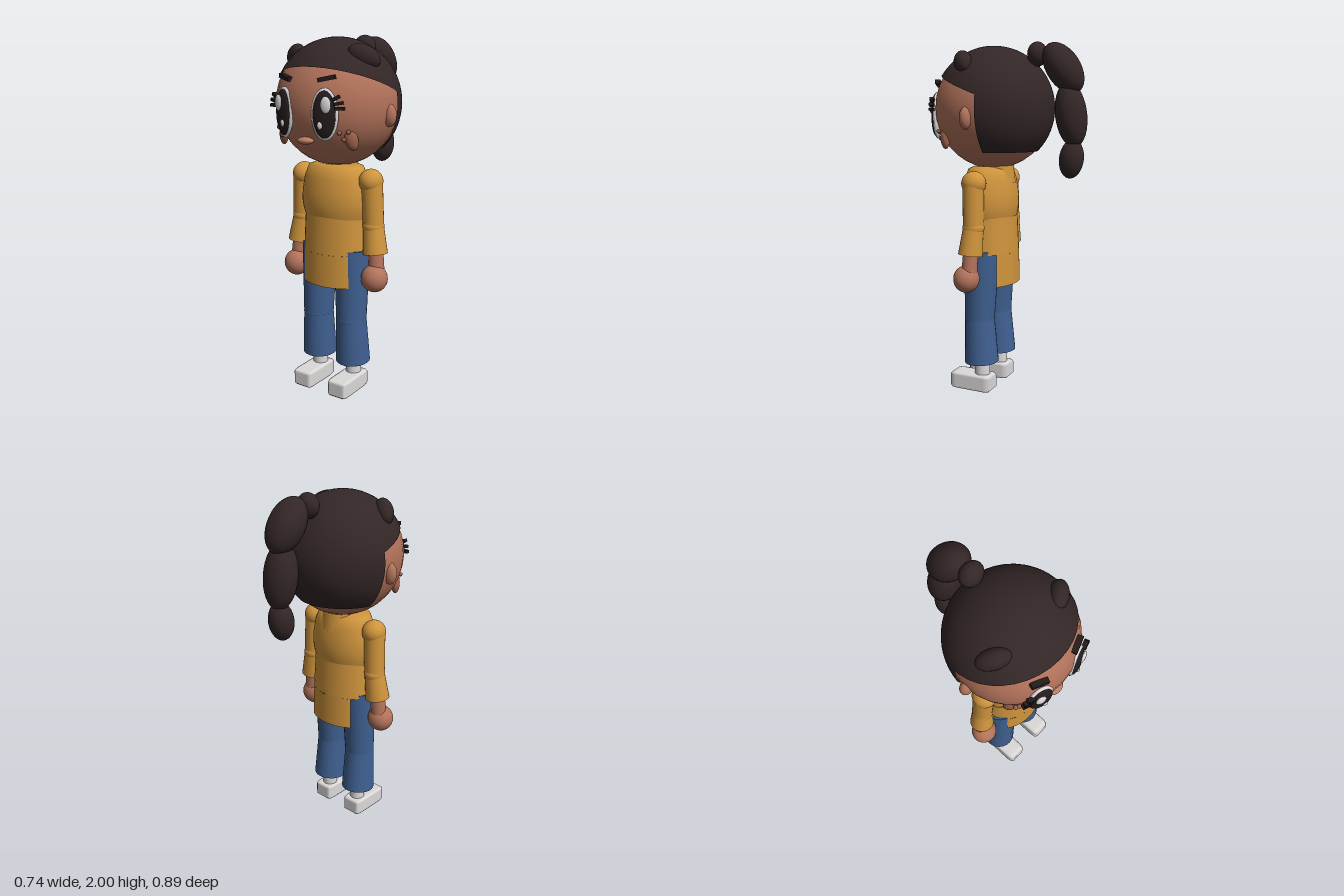
import * as THREE from 'three';
import { RoundedBoxGeometry } from 'three/addons/geometries/RoundedBoxGeometry.js';

const material = (name, color, side = THREE.FrontSide) => {
  const m = new THREE.MeshStandardMaterial({ color, side });
  m.name = name;
  return m;
};

export function createModel() {
  const model = new THREE.Group();
  model.name = 'girl';
  const skin = material('skin', 0xb3735b);
  const blush = material('blush', 0x9a5f4a);
  const lip = material('lip', 0xbb7a60);
  const hair = material('hair', 0x332626, THREE.DoubleSide);
  const cloth = material('mustard cloth', 0xcf943c, THREE.DoubleSide);
  const denim = material('denim', 0x3f6091);
  const white = material('white', 0xdcd9d9);
  const black = material('black', 0x251c1d);

  const add = (name, geometry, mat, parent = model) => {
    const mesh = new THREE.Mesh(geometry, mat);
    mesh.name = name;
    parent.add(mesh);
    return mesh;
  };
  const ball = (name, mat, pos, radii, rot = [0, 0, 0], parent = model) => {
    const mesh = add(name, new THREE.SphereGeometry(1, 28, 18), mat, parent);
    mesh.position.set(...pos);
    mesh.scale.set(...radii);
    mesh.rotation.set(...rot, 'YZX');
    return mesh;
  };
  // Tapered cylinder from point a down to point b
  const limb = (name, mat, a, b, ra, rb) => {
    const top = new THREE.Vector3(...a), end = new THREE.Vector3(...b);
    const mesh = add(name, new THREE.CylinderGeometry(ra, rb, top.distanceTo(end), 24), mat);
    mesh.position.copy(top).add(end).multiplyScalar(0.5);
    mesh.quaternion.setFromUnitVectors(new THREE.Vector3(0, 1, 0), top.sub(end).normalize());
    return mesh;
  };

  // Head, mouth and neck
  const HY = 1.64, HZ = 0.105, HR = 0.347;
  ball('head', skin, [0, HY, HZ], [0.339, 0.34, 0.334]);
  ball('mouth', lip, [0, 1.463, 0.4], [0.048, 0.02, 0.035]);
  limb('collar', cloth, [0, 1.34, 0.09], [0, 1.22, 0.09], 0.095, 0.11);

  // Hair cap, cut by a plane that rises towards the forehead
  const cap = add('hairCap', new THREE.SphereGeometry(HR, 36, 18, 0, Math.PI * 2, 0, 1.33), hair);
  cap.position.set(0, HY, HZ);
  cap.rotation.x = -0.357;

  // Back of the hair, a piece of sphere with a straight front and bottom edge
  const back = new THREE.PlaneGeometry(1, 1, 28, 14);
  const p = back.attributes.position;
  for (let i = 0; i < p.count; i++) {
    const y = -0.24 + (p.getY(i) + 0.5) * 0.42;
    const rho = Math.sqrt(HR * HR - y * y);
    const a = p.getX(i) * 2 * Math.acos(0.05 / rho);
    p.setXYZ(i, Math.sin(a) * rho, HY + y, HZ - Math.cos(a) * rho);
  }
  back.computeVertexNormals();
  add('hairBack', back, hair);

  // Ponytail
  ball('hairTie', hair, [0, 1.933, -0.16], [0.067, 0.067, 0.054]);
  ball('ponytailTop', hair, [0, 1.855, -0.312], [0.103, 0.155, 0.092], [0.6, 0, 0]);
  ball('ponytailMiddle', hair, [0, 1.605, -0.36], [0.096, 0.178, 0.086], [0.14, 0, 0]);
  ball('ponytailEnd', hair, [0, 1.365, -0.365], [0.07, 0.108, 0.068], [-0.12, 0, 0]);

  // Torso, an oval lathe
  const profile = [[0, 1.315], [0.12, 1.315], [0.165, 1.3], [0.19, 1.24], [0.205, 1.16],
    [0.208, 1.1], [0.2, 1.05], [0.186, 1.01]].reverse();
  const torso = add('torso', new THREE.LatheGeometry(
    profile.map(([r, y]) => new THREE.Vector2(r, y)), 36), cloth);
  torso.scale.z = 0.73;
  torso.position.z = 0.127;

  // Tunic skirt: closed above, split into front and back panels below
  const skirt = (name, r1, r2, y1, y2, start, length) => {
    const mesh = add(name, new THREE.CylinderGeometry(r1, r2, y1 - y2, 36, 1, true, start, length), cloth);
    mesh.position.set(0, (y1 + y2) / 2, 0.125);
    mesh.scale.z = 0.76;
  };
  skirt('skirt', 0.188, 0.2, 1.03, 0.82, 0, Math.PI * 2);
  skirt('frontPanel', 0.2, 0.205, 0.82, 0.635, -0.83, 1.66);
  skirt('backPanel', 0.2, 0.205, 0.82, 0.635, Math.PI - 0.83, 1.66);
  ball('hips', denim, [0, 0.8, 0.128], [0.18, 0.14, 0.1]);

  for (const s of [1, -1]) {
    const side = s > 0 ? 'left' : 'right';
    const n = (part) => side + part;

    // Ear, hair bump, cheek and freckles
    ball(n('Ear'), skin, [s * 0.33, 1.587, 0.113], [0.039, 0.06, 0.032]);
    ball(n('HairBump'), hair, [s * 0.218, 1.885, 0.185], [0.09, 0.058, 0.05], [0, s * 0.64, -s * 0.45]);
    ball(n('Cheek'), blush, [s * 0.22, 1.475, 0.303], [0.035, 0.06, 0.025], [0, s * 0.8, s * 0.3]);
    for (const [x, y, z] of [[0.225, 1.515, 0.34], [0.185, 1.51, 0.36], [0.2, 1.475, 0.342]])
      ball(n('Freckle'), blush, [s * x, y, z], [0.012, 0.012, 0.012]);

    // Eye, turned outwards, built in its own frame
    const eye = new THREE.Group();
    eye.name = n('Eye');
    eye.position.set(s * 0.128, 1.603, 0.405);
    eye.rotation.y = s * 0.32;
    model.add(eye);
    ball('eyeWhite', white, [0, 0, 0], [0.072, 0.132, 0.022], [0, 0, 0], eye);
    ball('pupil', black, [0, 0, 0.01], [0.061, 0.119, 0.022], [0, 0, 0], eye);
    ball('largeHighlight', white, [s * 0.014, 0.05, 0.03], [0.027, 0.042, 0.012], [0, 0, 0], eye);
    ball('smallHighlight', white, [-s * 0.018, -0.053, 0.028], [0.013, 0.019, 0.008], [0, 0, 0], eye);
    for (const [x, y, tilt] of [[0.083, 0.032, 0], [0.076, 0.057, 0.2], [0.06, 0.082, 0.5]]) {
      const lash = add('lash', new THREE.BoxGeometry(0.045, 0.016, 0.025), black, eye);
      lash.position.set(s * x, y, 0.014);
      lash.rotation.z = s * tilt;
    }

    // Eyebrow
    const brow = add(n('Brow'), new THREE.BoxGeometry(0.09, 0.022, 0.03), black);
    brow.position.set(s * 0.13, 1.78, 0.39);
    brow.rotation.set(0, s * 0.36, s * 0.2, 'YZX');

    // Arm with puffed shoulder and flared sleeve
    ball(n('Shoulder'), cloth, [s * 0.225, 1.23, 0.122], [0.066, 0.068, 0.07]);
    limb(n('UpperSleeve'), cloth, [s * 0.23, 1.23, 0.122], [s * 0.241, 0.985, 0.118], 0.06, 0.058);
    ball(n('Elbow'), cloth, [s * 0.241, 0.985, 0.118], [0.059, 0.05, 0.062]);
    limb(n('LowerSleeve'), cloth, [s * 0.241, 0.985, 0.118], [s * 0.26, 0.833, 0.128], 0.057, 0.069);
    limb(n('Wrist'), skin, [s * 0.26, 0.86, 0.125], [s * 0.27, 0.74, 0.13], 0.042, 0.044);
    ball(n('Hand'), skin, [s * 0.269, 0.698, 0.15], [0.075, 0.077, 0.073]);

    // Trouser leg
    limb(n('Thigh'), denim, [s * 0.11, 0.84, 0.133], [s * 0.115, 0.43, 0.147], 0.102, 0.087);
    ball(n('Knee'), denim, [s * 0.115, 0.43, 0.147], [0.087, 0.05, 0.088]);
    limb(n('Shin'), denim, [s * 0.115, 0.43, 0.147], [s * 0.118, 0.173, 0.134], 0.087, 0.099);

    // Ankle and shoe
    limb(n('Ankle'), white, [s * 0.117, 0.2, 0.13], [s * 0.118, 0.07, 0.13], 0.044, 0.044);
    const shoe = add(n('Shoe'), new RoundedBoxGeometry(1, 1, 1, 1, 0.16), white);
    shoe.scale.set(0.125, 0.1, 0.262);
    shoe.position.set(s * 0.121, 0.05, 0.189);
  }
  return model;
}
